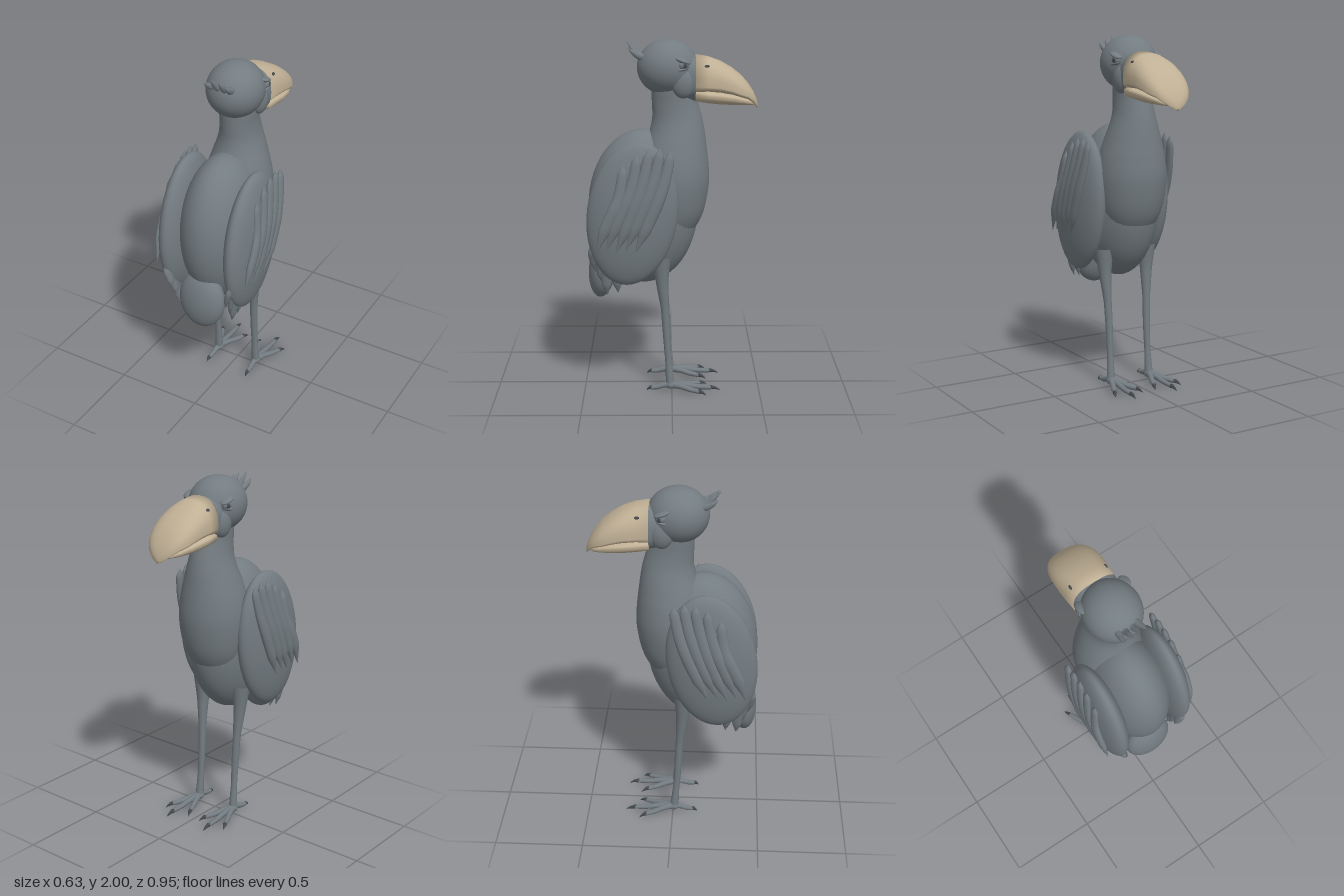
import * as THREE from 'three';

const mat = (name, color) => {
  const m = new THREE.MeshStandardMaterial({ color });
  m.name = name;
  return m;
};

// Skin a list of closed rings (arrays of Vector3, counter-clockwise about the path)
function loft(rings) {
  const n = rings[0].length, index = [];
  for (let i = 0; i < rings.length - 1; i++)
    for (let j = 0; j < n; j++) {
      const a = i * n + j, b = i * n + (j + 1) % n, c = a + n, d = b + n;
      index.push(a, b, c, b, d, c);
    }
  const g = new THREE.BufferGeometry().setFromPoints(rings.flat());
  g.setIndex(index);
  g.computeVertexNormals();
  return g;
}

// Tapered limb along a curve; stations are [x, y, z, radius], flat scales its thickness in x
function limb(stations, flat = 1, sides = 12, steps = 20) {
  const curve = new THREE.CatmullRomCurve3(stations.map(p => new THREE.Vector3(p[0], p[1], p[2])));
  const last = stations.length - 1, rings = [];
  for (let i = 0; i <= steps; i++) {
    const t = i / steps, k = Math.min(Math.floor(t * last), last - 1);
    const r = THREE.MathUtils.lerp(stations[k][3], stations[k + 1][3], t * last - k);
    const c = curve.getPoint(t), dir = curve.getTangent(t);
    const u = new THREE.Vector3(1, 0, 0).addScaledVector(dir, -dir.x).normalize();
    const v = dir.clone().cross(u);
    rings.push(Array.from({ length: sides }, (_, j) => {
      const a = j / sides * Math.PI * 2;
      return c.clone().addScaledVector(u, Math.cos(a) * r * flat).addScaledVector(v, Math.sin(a) * r);
    }));
  }
  return loft(rings);
}

// Beak shell from stations [z, halfWidth, centreY, topY, bottomY]
function shell(stations, sides = 32) {
  const sq = v => Math.sign(v) * Math.abs(v) ** 0.8;
  return loft(stations.map(([z, w, cy, top, bottom]) => Array.from({ length: sides }, (_, j) => {
    const a = j / sides * Math.PI * 2, s = -sq(Math.sin(a));
    return new THREE.Vector3(w * sq(Math.cos(a)), cy + s * (s > 0 ? top - cy : cy - bottom), z);
  })));
}

export function createModel() {
  const plumage = mat('slate plumage', 0x737c81);
  const horn = mat('tan beak', 0xc0b095);
  const dark = mat('dark claw', 0x45494c);
  const root = new THREE.Group();
  root.name = 'bird';

  const add = (name, geometry, material = plumage) => {
    const m = new THREE.Mesh(geometry, material);
    m.name = name;
    root.add(m);
    return m;
  };
  const ball = (name, pos, size, tilt = 0, material = plumage) => {
    const m = add(name, new THREE.SphereGeometry(1, 40, 28), material);
    m.position.set(...pos);
    m.scale.set(...size);
    m.rotation.x = tilt;
    return m;
  };

  // Head, body and tail
  ball('head', [0, 1.845, 0.022], [0.157, 0.155, 0.17]);
  ball('body', [0, 1.06, 0.16], [0.21, 0.442, 0.31]);
  ball('tail', [0, 0.7, 0.395], [0.14, 0.172, 0.078], -0.1);

  // Neck flowing into the chest: [y, centre z, half width, half depth]
  const neck = [[0.8, 0.06, 0.02, 0.03], [0.87, 0.03, 0.1, 0.1], [0.95, 0.01, 0.145, 0.15],
    [1.05, 0, 0.18, 0.185], [1.2, -0.005, 0.197, 0.205], [1.32, -0.01, 0.185, 0.195],
    [1.42, -0.02, 0.158, 0.173], [1.5, -0.03, 0.132, 0.152], [1.57, -0.03, 0.112, 0.138],
    [1.65, -0.018, 0.102, 0.128], [1.72, -0.01, 0.102, 0.122], [1.8, 0, 0.1, 0.11]];
  const along = k => new THREE.SplineCurve(neck.map(s => new THREE.Vector2(s[0], s[k])));
  const curves = [1, 2, 3].map(along);
  add('neckAndChest', loft(Array.from({ length: 45 }, (_, i) => {
    const [zc, rx, rz] = curves.map(c => c.getPoint(i / 44).y);
    const y = curves[0].getPoint(i / 44).x;
    return Array.from({ length: 40 }, (_, j) => {
      const a = j / 40 * Math.PI * 2;
      return new THREE.Vector3(rx * Math.cos(a), y, zc - rz * Math.sin(a));
    });
  })));

  // Face collar and two-part beak
  add('beakCollar', shell([[-0.02, 0.1, 1.78, 1.9, 1.69], [-0.07, 0.124, 1.78, 1.915, 1.67],
    [-0.132, 0.129, 1.78, 1.914, 1.66]]));
  add('upperBeak', shell([[-0.12, 0.02, 1.77, 1.8, 1.75], [-0.131, 0.13, 1.75, 1.915, 1.71], [-0.2, 0.137, 1.75, 1.904, 1.715],
    [-0.27, 0.142, 1.745, 1.878, 1.71], [-0.33, 0.139, 1.73, 1.843, 1.70], [-0.38, 0.128, 1.71, 1.805, 1.685],
    [-0.42, 0.108, 1.695, 1.76, 1.672], [-0.45, 0.08, 1.67, 1.715, 1.65], [-0.468, 0.045, 1.645, 1.675, 1.625],
    [-0.476, 0.012, 1.63, 1.645, 1.615], [-0.477, 0.001, 1.63, 1.631, 1.629]]), horn);
  add('lowerBeak', shell([[-0.12, 0.02, 1.7, 1.72, 1.69], [-0.131, 0.124, 1.705, 1.73, 1.66], [-0.2, 0.129, 1.70, 1.73, 1.65],
    [-0.27, 0.132, 1.695, 1.72, 1.643], [-0.34, 0.124, 1.685, 1.71, 1.64], [-0.4, 0.1, 1.67, 1.69, 1.638],
    [-0.44, 0.068, 1.655, 1.67, 1.638], [-0.462, 0.02, 1.645, 1.65, 1.638], [-0.464, 0.001, 1.645, 1.646, 1.644]]), horn);

  // Crest of pointed tufts
  for (const [x, z, y] of [[-0.062, 0.235, 1.955], [-0.022, 0.25, 1.985], [0.025, 0.24, 1.975], [0.062, 0.238, 1.955]])
    add('crestTuft', limb([[x * 0.8, 1.9, 0.13, 0.02], [x * 0.9, 1.91, 0.175, 0.02],
      [x, (y + 1.91) / 2, 0.212, 0.013], [x, y, z, 0.001]], 0.9));

  for (const s of [1, -1]) {
    // Eye with heavy brow and cheek
    ball('eye', [s * 0.128, 1.868, -0.063], [0.026, 0.026, 0.03]);
    ball('pupil', [s * 0.15, 1.868, -0.07], [0.005, 0.012, 0.013], 0, dark);
    ball('brow', [s * 0.128, 1.893, -0.058], [0.03, 0.014, 0.045], -0.35);
    ball('lowerLid', [s * 0.128, 1.846, -0.055], [0.025, 0.01, 0.035], 0.2);
    ball('cheek', [s * 0.098, 1.77, -0.062], [0.042, 0.085, 0.065]);
    ball('nostril', [s * 0.103, 1.86, -0.192], [0.011, 0.009, 0.015], 0, dark);

    // Wing with a fan of long feathers on its outer side
    ball('wing', [s * 0.205, 1.06, 0.217], [0.088, 0.405, 0.25], -0.14);
    const tops = [[0.015, 1.41], [0.07, 1.425], [0.13, 1.42], [0.195, 1.39], [0.27, 1.33]];
    tops.forEach(([z, y], i) => {
      const end = 0.2 + i * 0.053, low = 0.865 + (i % 2) * 0.012;
      const path = (t, bow) => z + (end - z) * t - bow;
      add('wingFeather', limb([
        [s * 0.268, y + 0.015, z - 0.005, 0.001], [s * 0.272, y - 0.03, path(0.05, 0.01), 0.027],
        [s * 0.285, y - 0.16, path(0.26, 0.02), 0.033], [s * 0.293, (y + low) / 2, path(0.5, 0.025), 0.036],
        [s * 0.291, low + 0.12, path(0.78, 0.012), 0.033], [s * 0.283, low, end, 0.002]], 0.6));
    });

    // Short feathers below the wing's trailing edge
    for (const [z, low, end] of [[0.42, 0.72, 0.425], [0.39, 0.65, 0.385], [0.35, 0.59, 0.36], [0.31, 0.6, 0.3]])
      add('trailingFeather', limb([[s * 0.215, 0.9, z, 0.02], [s * 0.2, (0.9 + low) / 2 + 0.03, (z + end) / 2 + 0.01, 0.033],
        [s * 0.182, low + 0.06, end + 0.005, 0.026], [s * 0.17, low, end, 0.001]], 0.6));

    // Leg
    add('leg', limb([[s * 0.14, 0.8, 0.06, 0.055], [s * 0.137, 0.66, 0.055, 0.036], [s * 0.13, 0.5, 0.04, 0.023],
      [s * 0.126, 0.34, 0.03, 0.021], [s * 0.126, 0.18, 0.02, 0.018], [s * 0.128, 0.03, 0.008, 0.025]], 1, 16));
    ball('ankle', [s * 0.128, 0.035, 0.006], [0.028, 0.025, 0.032]);

    // Three forward toes and one hind toe, each tipped with a claw
    for (const [x, z] of [[0.218, -0.195], [0.137, -0.278], [0.042, -0.2], [0.135, 0.145]]) {
      const at = (t, y, r) => [s * (0.128 + (x - 0.128) * t), y, 0.005 + (z - 0.005) * t, r];
      add('toe', limb([at(0, 0.036, 0.022), at(0.3, 0.032, 0.016), at(0.55, 0.022, 0.015), at(0.82, 0.018, 0.012)], 1, 10));
      add('claw', limb([at(0.76, 0.019, 0.009), at(0.82, 0.02, 0.012), at(0.92, 0.014, 0.007), at(1, 0.003, 0.001)], 1, 8, 9), dark);
    }
  }
  return root;
}
